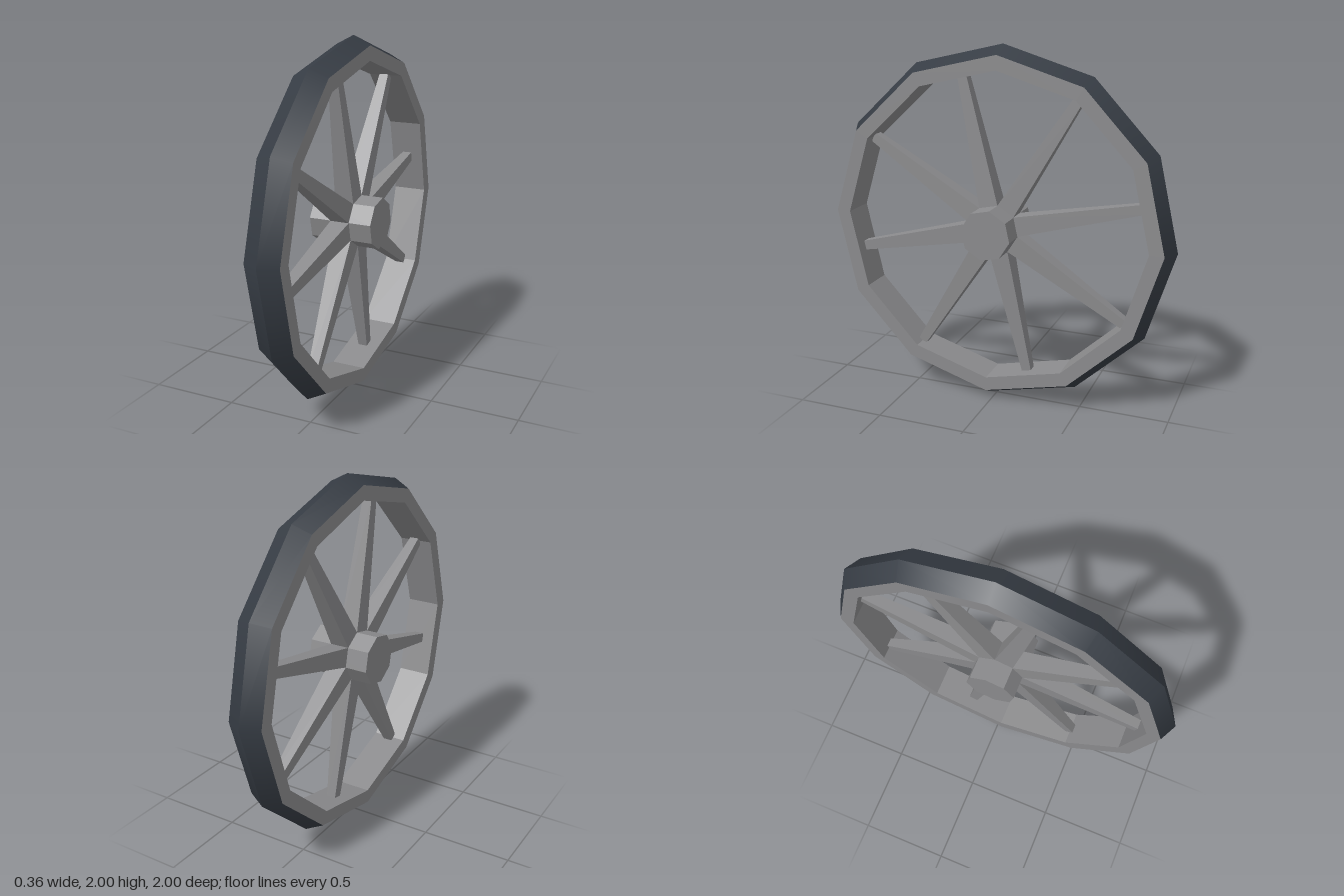
import * as THREE from 'three';

const DEG = Math.PI / 180;

// Split a geometry into hard-edged facets
function faceted(geometry) {
  const g = geometry.toNonIndexed();
  g.computeVertexNormals();
  return g;
}

// Twelve-sided ring around the x axis from [radius, x] profile points
function ring(profile) {
  const pts = profile.map(([r, x]) => new THREE.Vector2(r, x));
  return new THREE.LatheGeometry(pts, 12, -2 * DEG, Math.PI * 2).rotateZ(-Math.PI / 2);
}

export function createModel() {
  const tyreMat = new THREE.MeshStandardMaterial({ color: 0x363c44 });
  tyreMat.name = 'dark tyre';
  const greyMat = new THREE.MeshStandardMaterial({ color: 0x8b8b8d });
  greyMat.name = 'grey frame';

  const wheel = new THREE.Group();
  wheel.name = 'wheel';
  const add = (name, geometry, material) => {
    const mesh = new THREE.Mesh(geometry, material);
    mesh.name = name;
    mesh.position.y = 1;
    wheel.add(mesh);
    return mesh;
  };

  // Tyre: two bevels meeting in a central ridge, smooth around the rim
  const half = 0.097;
  add('tyreRight', ring([[0.95, -half], [1, 0]]), tyreMat);
  add('tyreLeft', ring([[1, 0], [0.95, half]]), tyreMat);

  // Rim: side faces and inner surface
  add('rim', faceted(ring([[0.95, half], [0.87, half], [0.87, -half], [0.95, -half]])), greyMat);

  // Octagonal hub
  const hub = new THREE.CylinderGeometry(0.142, 0.142, 0.36, 8, 1, false, -10 * DEG);
  add('hub', faceted(hub.rotateZ(-Math.PI / 2)), greyMat);

  // Eight tapered square spokes
  const inner = 0.11, outer = 0.868;
  const spoke = faceted(
    new THREE.CylinderGeometry(0.052 / Math.SQRT2, 0.11 / Math.SQRT2, outer - inner, 4)
      .rotateY(Math.PI / 4)
      .translate(0, (inner + outer) / 2, 0)
  );
  for (let i = 0; i < 8; i++) {
    add(`spoke${i + 1}`, spoke, greyMat).rotation.x = (13 + i * 45) * DEG;
  }
  return wheel;
}
